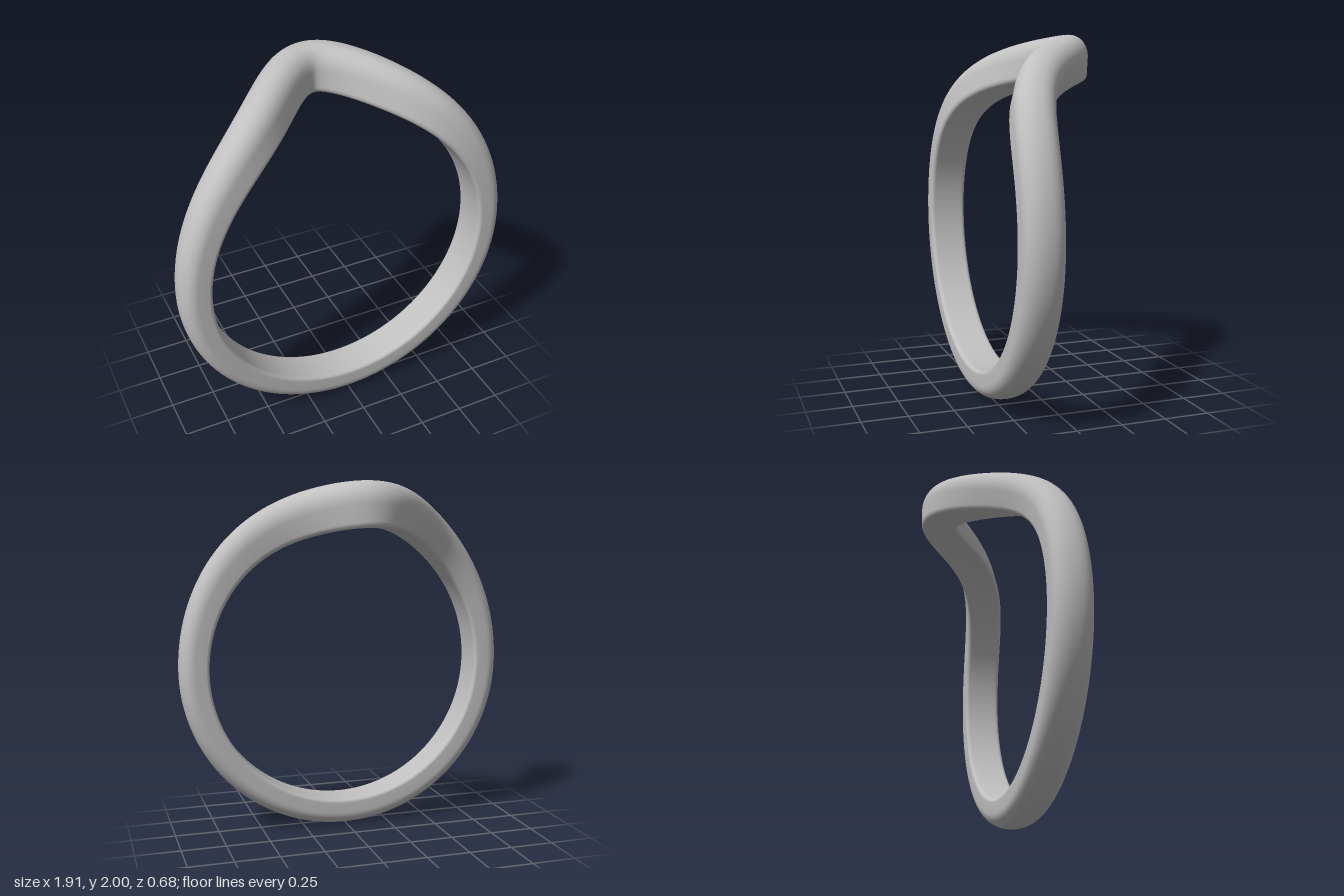
import * as THREE from 'three';

const INNER_R = 0.797, CENTRE_Y = 0.958, HALF_W = 0.107, MID_R = 0.88;
const SEGMENTS = 320;

// Sideways position of the band's centreline; t is the angle from the top.
const bendZ = t => 0.234 - 0.471 / Math.cosh(2.35 * t) ** 2;

// Radial thickness: thin all round, swelling towards the top.
const thickness = t => 0.16 + 0.085 * Math.max(0, Math.cos(t)) ** 2;

// Cross-section [across, outward fraction]: flat inside, filleted edges, domed outside.
function makeProfile() {
  const pts = [];
  const fillet = 0.022, side = 0.13, domeBase = 0.5;
  for (let i = 0; i <= 8; i++) pts.push([-HALF_W + fillet + (HALF_W - fillet) * 2 * i / 8, 0]);
  for (let i = 1; i <= 5; i++) {
    const a = i / 5 * Math.PI / 2;
    pts.push([HALF_W - fillet + fillet * Math.sin(a), side * (1 - Math.cos(a))]);
  }
  pts.push([HALF_W, 0.3]);
  for (let i = 0; i <= 24; i++) {
    const a = i / 24 * Math.PI;
    const c = Math.cos(a);
    pts.push([HALF_W * Math.sign(c) * Math.abs(c) ** 0.9, domeBase + (1 - domeBase) * Math.sin(a) ** 0.95]);
  }
  pts.push([-HALF_W, 0.3]);
  for (let i = 5; i >= 1; i--) {
    const a = i / 5 * Math.PI / 2;
    pts.push([-HALF_W + fillet - fillet * Math.sin(a), side * (1 - Math.cos(a))]);
  }
  return pts;
}

// Sweep the section round the finger hole, square to the bent centreline.
function makeBand() {
  const profile = makeProfile(), n = profile.length;
  const positions = [], indices = [];
  for (let i = 0; i < SEGMENTS; i++) {
    const t = (i / SEGMENTS * 2 - 1) * Math.PI;
    const slope = (bendZ(t + 1e-3) - bendZ(t - 1e-3)) / (2e-3 * MID_R);
    const len = Math.hypot(1, slope);
    for (const [u, v] of profile) {
      const a = t - u * slope / len / MID_R;
      const r = INNER_R + v * thickness(a);
      positions.push(r * Math.sin(a), CENTRE_Y + r * Math.cos(a), bendZ(t) + u / len);
    }
    const next = (i + 1) % SEGMENTS;
    for (let j = 0; j < n; j++) {
      const k = (j + 1) % n;
      const a = i * n + j, b = i * n + k, c = next * n + k, d = next * n + j;
      indices.push(a, d, b, b, d, c);
    }
  }
  const geometry = new THREE.BufferGeometry();
  geometry.setAttribute('position', new THREE.Float32BufferAttribute(positions, 3));
  geometry.setIndex(indices);
  geometry.computeVertexNormals();
  return geometry;
}

export function createModel() {
  const metal = new THREE.MeshStandardMaterial({ color: 0xc0c0c0 });
  metal.name = 'silver grey';
  const band = new THREE.Mesh(makeBand(), metal);
  band.name = 'ringBand';
  const group = new THREE.Group();
  group.name = 'curvedRing';
  group.add(band);
  return group;
}
